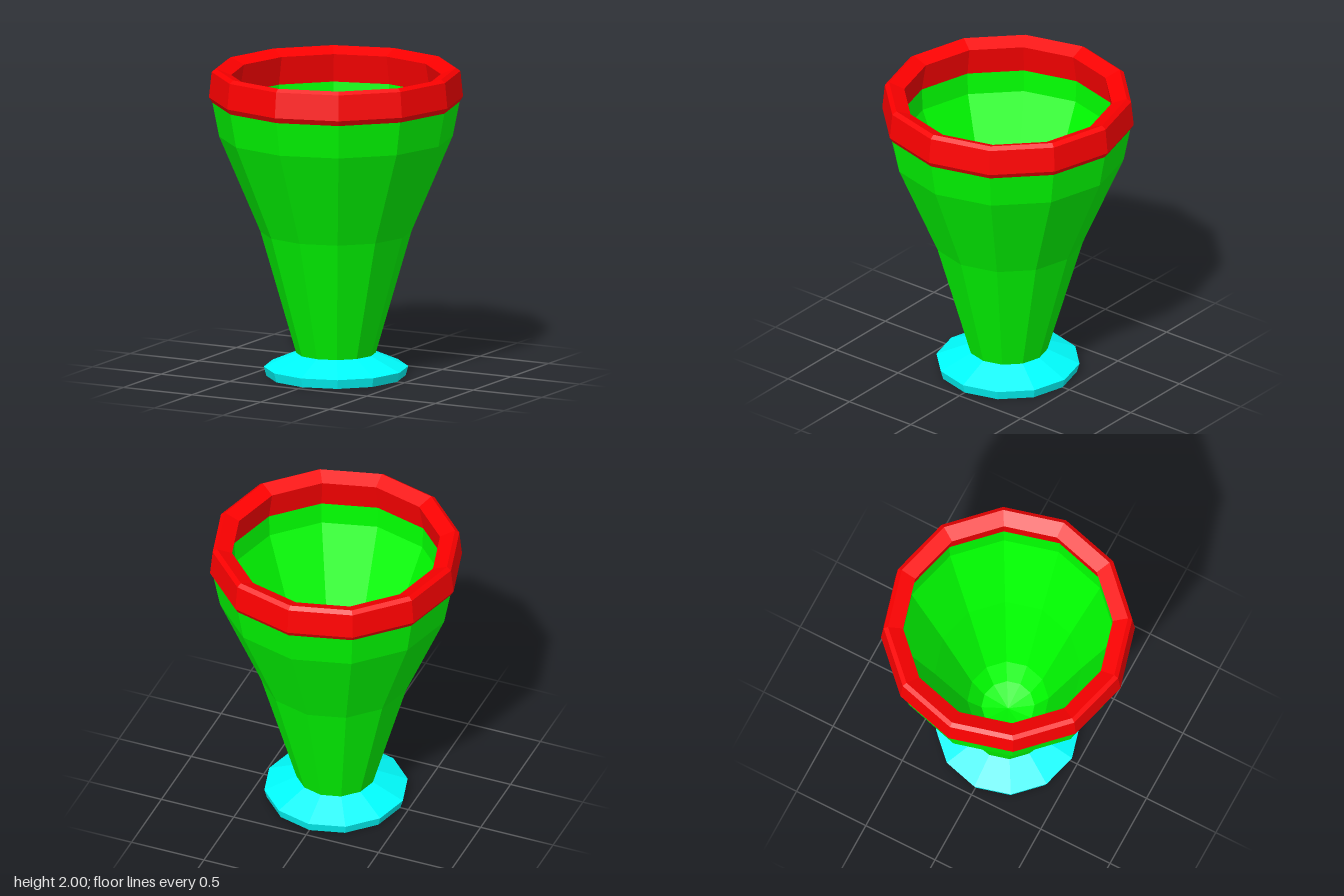
import * as THREE from 'three';

const SIDES = 12;

// Faceted part turned around the y axis; profile is [radius, height] pairs,
// running up the outside and down the inside.
function turned(name, color, profile) {
  const points = profile.map(([r, y]) => new THREE.Vector2(r, y));
  const mesh = new THREE.Mesh(
    new THREE.LatheGeometry(points, SIDES),
    new THREE.MeshStandardMaterial({ color, flatShading: true })
  );
  mesh.name = name;
  return mesh;
}

export function createModel() {
  const group = new THREE.Group();
  group.name = 'goblet';

  // Flared foot with a flat underside
  group.add(turned('foot', 0x00ffff, [
    [0, 0], [0.445, 0], [0.462, 0.06], [0.255, 0.15],
  ]));

  // Hollow cup: outer wall, then inner wall down to a shallow floor
  group.add(turned('cup', 0x00ff00, [
    [0.255, 0.15], [0.483, 0.94], [0.747, 1.56], [0.79, 1.78],
    [0.703, 1.775], [0.695, 1.63], [0.47, 1.1], [0.26, 0.56], [0.17, 0.44], [0, 0.4],
  ]));

  // Thick bevelled rim: top slopes inward, inner face undercut
  group.add(turned('rim', 0xff0000, [
    [0.79, 1.78], [0.812, 1.815], [0.795, 1.98],
    [0.767, 2], [0.67, 1.96], [0.703, 1.775],
  ]));

  return group;
}
